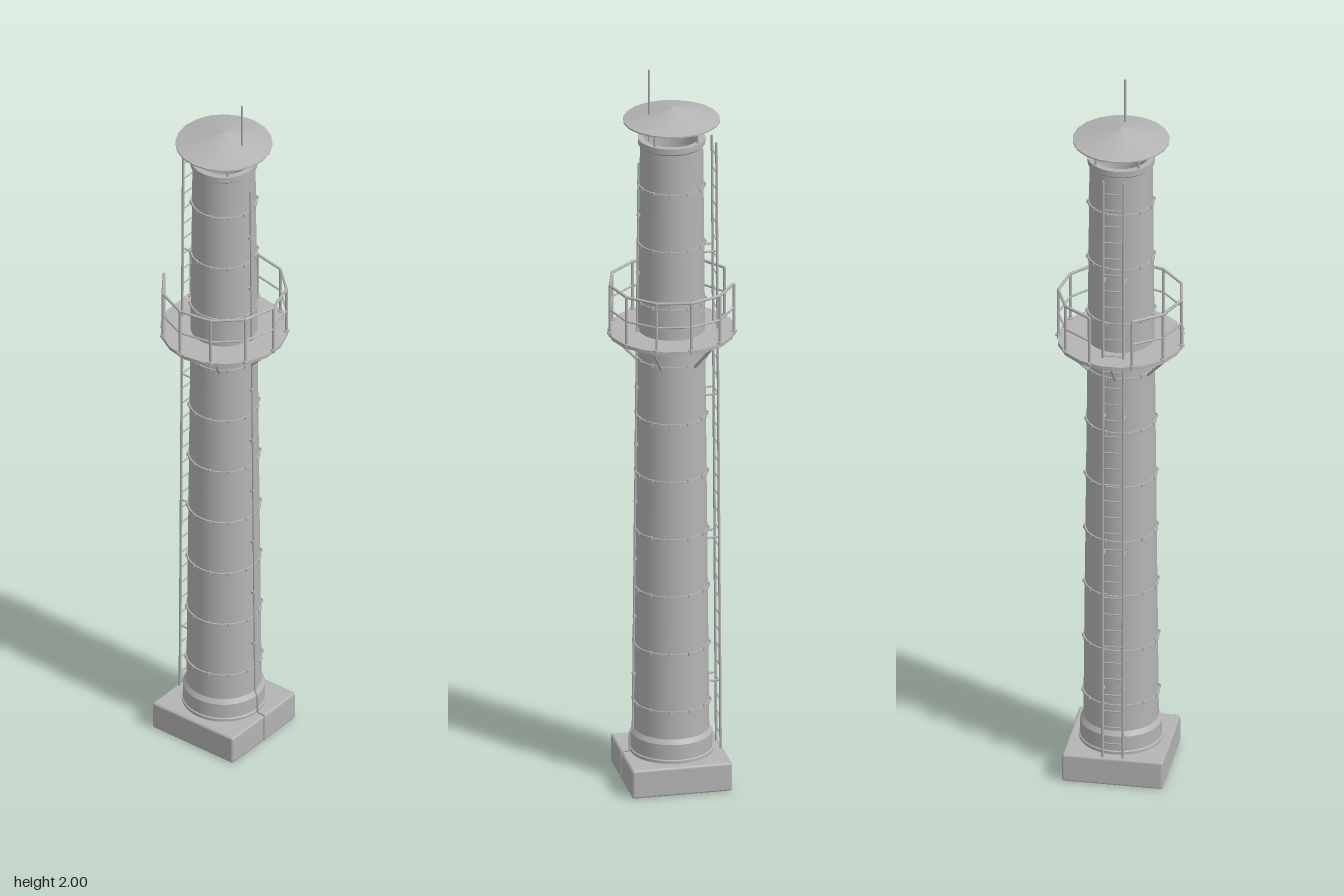
import * as THREE from 'three';
import { RoundedBoxGeometry } from 'three/addons/geometries/RoundedBoxGeometry.js';

const grey = new THREE.MeshStandardMaterial({ color: 0xb4b4b4 });
grey.name = 'painted grey steel';
const UP = new THREE.Vector3(0, 1, 0);

function add(parent, name, geometry, x = 0, y = 0, z = 0) {
  const mesh = new THREE.Mesh(geometry, grey);
  mesh.name = name;
  mesh.position.set(x, y, z);
  parent.add(mesh);
  return mesh;
}

// Round bar between two points
function bar(parent, name, a, b, r, sides = 6) {
  const dir = b.clone().sub(a);
  const mesh = add(parent, name, new THREE.CylinderGeometry(r, r, dir.length(), sides));
  mesh.position.copy(a).addScaledVector(dir, 0.5);
  mesh.quaternion.setFromUnitVectors(UP, dir.normalize());
  return mesh;
}

const v = (x, y, z) => new THREE.Vector3(x, y, z);
const polar = (r, deg, y) => {
  const t = THREE.MathUtils.degToRad(deg);
  return v(r * Math.cos(t), y, r * Math.sin(t));
};
const shaftRadius = (y) => 0.0985 - (y - 0.14) * 0.0098;

// Lathe with a crisp edge at each profile corner
function turned(parent, name, profile, sides) {
  const group = new THREE.Group();
  group.name = name;
  parent.add(group);
  for (let i = 1; i < profile.length; i++) {
    const pts = [profile[i - 1], profile[i]].map(([r, y]) => new THREE.Vector2(r, y));
    add(group, name + 'Face', new THREE.LatheGeometry(pts, sides));
  }
}

export function createModel() {
  const model = new THREE.Group();
  model.name = 'chimney';
  const tower = new THREE.Group();
  tower.name = 'tower';
  tower.position.x = -0.003;
  model.add(tower);

  // Foundation block and round plinth
  add(tower, 'foundation', new RoundedBoxGeometry(0.268, 0.08, 0.268, 1, 0.007), 0, 0.04, 0);
  turned(tower, 'plinth', [[0.11, 0.078], [0.11, 0.088], [0.107, 0.09], [0.107, 0.132], [0.098, 0.145]], 32);

  // Tapered shaft with a hollow mouth and collar
  turned(tower, 'shaft', [[0.0985, 0.14], [0.0825, 1.785], [0.088, 1.79], [0.088, 1.806],
    [0.072, 1.806], [0.072, 1.6], [0, 1.6]], 32);

  // Bolted joint bands
  for (let i = 0; i < 10; i++) {
    const y = 0.218 + i * 0.1615;
    const r = shaftRadius(y) + 0.0035;
    add(tower, 'jointBand', new THREE.CylinderGeometry(r, r, 0.009, 32), 0, y, 0);
    for (let k = 0; k < 12; k++) {
      const p = polar(r, k * 30 + 15, y + 0.003);
      add(tower, 'bandBolt', new THREE.CylinderGeometry(0.003, 0.003, 0.01, 6), p.x, p.y, p.z);
    }
  }

  // Rain cap on four posts, with a lightning rod
  turned(tower, 'rainCap', [[0, 1.853], [0.127, 1.853], [0.127, 1.857], [0, 1.889]], 20);
  for (let k = 0; k < 4; k++) {
    bar(tower, 'capPost', polar(0.081, 45 + k * 90, 1.8), polar(0.081, 45 + k * 90, 1.858), 0.0035);
  }
  bar(tower, 'lightningRod', v(0.06, 1.8, 0), v(0.06, 2, 0), 0.003);

  // Earth cable down the left side
  const cable = [v(shaftRadius(1.74) + 0.005, 1.74, 0), v(shaftRadius(0.15) + 0.005, 0.15, 0),
    v(0.112, 0.13, 0), v(0.112, 0.083, 0), v(0.134, 0.082, 0), v(0.134, 0.002, 0)];
  for (let i = 1; i < cable.length; i++) bar(tower, 'earthCable', cable[i - 1], cable[i], 0.003);
  for (let y = 0.3; y < 1.7; y += 0.1615) {
    add(tower, 'cableClip', new THREE.BoxGeometry(0.01, 0.006, 0.012), shaftRadius(y) + 0.003, y, 0);
  }

  // Service platform as a ring around the shaft
  turned(tower, 'platform', [[0.085, 1.256], [0.167, 1.256], [0.167, 1.266], [0.085, 1.266]], 18);
  for (let k = 0; k < 6; k++) {
    bar(tower, 'platformBracket', polar(0.089, k * 60, 1.183), polar(0.157, k * 60, 1.256), 0.004);
    bar(tower, 'platformBeam', polar(0.087, k * 60, 1.253), polar(0.16, k * 60, 1.253), 0.003);
  }

  // Railing, open at the ladder
  const R = 0.164;
  for (let k = -5; k <= 5; k++) {
    const a = k * 32;
    bar(tower, 'railingPost', polar(R, a, 1.256), polar(R, a, 1.4), 0.004);
    const p = polar(R, a, 1.267);
    add(tower, 'postFlange', new THREE.CylinderGeometry(0.008, 0.008, 0.005, 10), p.x, p.y, p.z);
    if (k === 5) continue;
    for (const y of [1.4, 1.332]) {
      bar(tower, 'railingBar', polar(R, a, y), polar(R, a + 32, y), y > 1.35 ? 0.004 : 0.003);
    }
  }

  // Ladder on the right side, leaning with the taper
  const ladderX = (y) => -0.125 + (y - 0.08) * 0.0066;
  const ladder = new THREE.Group();
  ladder.name = 'ladder';
  tower.add(ladder);
  for (const z of [-0.027, 0.027]) {
    bar(ladder, 'ladderRail', v(ladderX(0.08), 0.08, z), v(ladderX(1.79), 1.79, z), 0.0035);
    for (let i = 0; i < 4; i++) {
      const y = 0.272 + i * 0.404;
      bar(ladder, 'ladderStandoff', v(ladderX(y), y, z), v(-shaftRadius(y) + 0.006, y, z), 0.0025);
    }
  }
  for (let y = 0.12; y < 1.78; y += 0.048) {
    bar(ladder, 'ladderRung', v(ladderX(y), y, -0.027), v(ladderX(y), y, 0.027), 0.002, 5);
  }
  return model;
}
